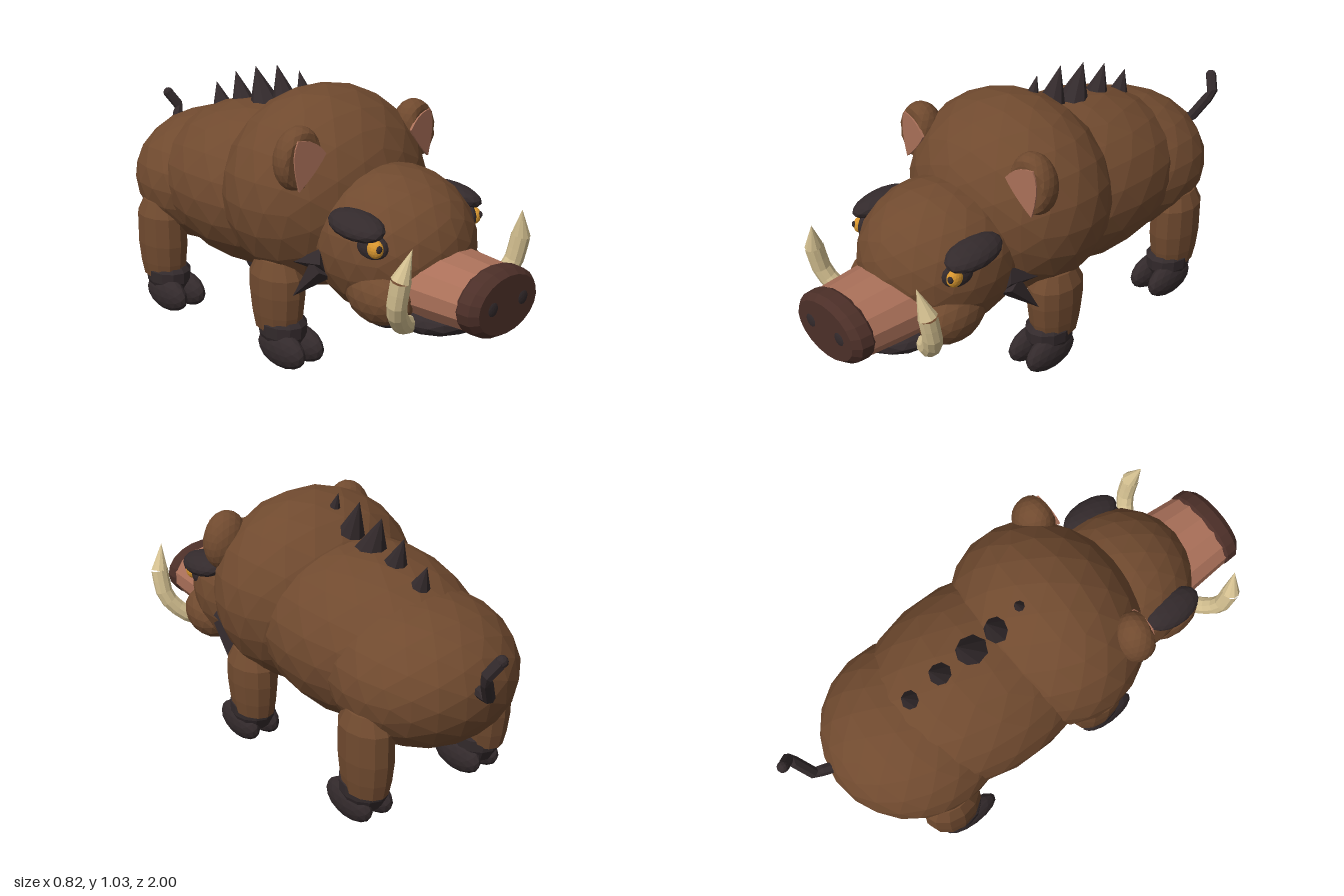
import * as THREE from 'three';

const mat = (name, color) => {
  const m = new THREE.MeshStandardMaterial({ color });
  m.name = name;
  return m;
};
const V = (a) => new THREE.Vector3(...a);

// Faceted normals for any geometry
function facet(geo) {
  const g = geo.index ? geo.toNonIndexed() : geo;
  g.computeVertexNormals();
  return g;
}

export function createModel() {
  const model = new THREE.Group();
  model.name = 'boar';
  const hide = mat('brown hide', 0x704a2f);
  const skin = mat('pink skin', 0xaa7059);
  const pad = mat('snout brown', 0x4c2f28);
  const dark = mat('dark bristle', 0x332a2c);
  const ivory = mat('ivory', 0xd6c292);
  const amber = mat('amber', 0xd9972f);

  const add = (name, geo, material, pos = [0, 0, 0], rot = [0, 0, 0]) => {
    const m = new THREE.Mesh(facet(geo), material);
    m.name = name;
    m.position.set(...pos);
    m.rotation.set(...rot);
    model.add(m);
    return m;
  };
  // Low-poly ellipsoid
  const blob = (name, material, pos, radii, detail = 2, rot) =>
    add(name, new THREE.IcosahedronGeometry(1, detail).scale(...radii), material, pos, rot);
  // Cone from a base point to a tip
  const spike = (name, material, base, tip, radius, sides = 8) => {
    const dir = V(tip).sub(V(base));
    const len = dir.length();
    const geo = new THREE.ConeGeometry(radius, len, sides).translate(0, len / 2, 0);
    const m = add(name, geo, material, base);
    m.quaternion.setFromUnitVectors(new THREE.Vector3(0, 1, 0), dir.normalize());
    return m;
  };
  const lathe = (pts, sides) =>
    new THREE.LatheGeometry(pts.map((p) => new THREE.Vector2(...p)), sides);
  const tube = (name, material, pts, radius, steps, sides) => {
    const path = new THREE.CatmullRomCurve3(pts.map(V));
    return add(name, new THREE.TubeGeometry(path, steps, radius, sides), material);
  };

  // Body masses
  blob('chest', hide, [0, 0.62, 0.125], [0.412, 0.382, 0.345], 3);
  blob('barrel', hide, [0, 0.56, -0.2], [0.37, 0.325, 0.5], 3);
  blob('rump', hide, [0, 0.525, -0.5], [0.35, 0.275, 0.352], 3);
  blob('head', hide, [0, 0.5, 0.48], [0.29, 0.275, 0.305], 3);

  // Muzzle, facing +z
  const muzzle = new THREE.CylinderGeometry(0.172, 0.2, 0.34, 14, 3).rotateX(Math.PI / 2).scale(1, 0.68, 1);
  add('muzzle', muzzle, skin, [0, 0.408, 0.76]);
  const disc = lathe([[0, 0], [0.155, 0], [0.178, 0.03], [0.175, 0.075], [0.15, 0.1], [0, 0.1]], 20);
  add('snoutPad', disc.rotateX(Math.PI / 2).scale(1, 0.68, 1), pad, [0, 0.41, 0.9]);
  blob('lowerJaw', dark, [0, 0.3, 0.7], [0.185, 0.068, 0.18]);

  // Back bristles: base z, y, tip z, y, radius
  for (const [z, y, tz, ty, r] of [
    [0, 0.97, -0.02, 1.028, 0.02], [-0.1, 0.9, -0.145, 1.03, 0.05], [-0.21, 0.85, -0.27, 1.005, 0.068],
    [-0.34, 0.83, -0.392, 0.965, 0.055], [-0.48, 0.81, -0.515, 0.902, 0.04],
  ]) spike('backBristle', dark, [0, y, z], [0, ty, tz], r);

  // Tail: jointed rod
  const tail = new THREE.CurvePath();
  const joints = [[0.03, 0.57, -0.8], [0.06, 0.585, -0.9], [0.125, 0.7, -0.945], [0.09, 0.76, -0.975]].map(V);
  for (let i = 0; i < 3; i++) tail.add(new THREE.LineCurve3(joints[i], joints[i + 1]));
  add('tail', new THREE.TubeGeometry(tail, 9, 0.022, 7), dark);
  blob('tailTip', dark, joints[3].toArray(), [0.022, 0.022, 0.022], 1);

  for (const s of [1, -1]) {
    const side = s > 0 ? 'left' : 'right';

    // Face
    blob(side + 'Cheek', hide, [s * 0.19, 0.375, 0.6], [0.095, 0.105, 0.14]);
    blob(side + 'Nostril', dark, [s * 0.078, 0.415, 0.995], [0.03, 0.03, 0.009]);
    blob(side + 'EyeSocket', dark, [s * 0.242, 0.565, 0.61], [0.025, 0.048, 0.058], 2, [0, s * -0.35, 0]);
    blob(side + 'Eye', amber, [s * 0.252, 0.567, 0.632], [0.024, 0.034, 0.032]);
    blob(side + 'Pupil', dark, [s * 0.259, 0.573, 0.657], [0.012, 0.014, 0.009], 1);
    blob(side + 'Brow', dark, [s * 0.25, 0.628, 0.54], [0.068, 0.042, 0.122], 2, [0.08, 0, s * -0.3]);

    // Ear: rounded shell with a flat front and a pink lining
    const ear = new THREE.IcosahedronGeometry(1, 3).scale(0.086, 0.115, 0.08);
    const p = ear.attributes.position;
    for (let i = 0; i < p.count; i++) p.setZ(i, Math.min(p.getZ(i), 0.045));
    const earGroup = new THREE.Group();
    earGroup.name = side + 'Ear';
    earGroup.add(add(side + 'EarShell', ear, hide, [0, 0, 0], [0, 0, s * 0.2]));
    const lining = new THREE.Shape();
    lining.moveTo(s * 0.025, -0.105);
    lining.quadraticCurveTo(s * -0.05, -0.045, s * -0.088, 0.015);
    lining.quadraticCurveTo(s * -0.045, 0.075, s * 0.03, 0.075);
    lining.quadraticCurveTo(s * 0.065, 0.02, s * 0.025, -0.105);
    const plate = new THREE.ExtrudeGeometry(lining, { depth: 0.009, bevelEnabled: false, curveSegments: 5 });
    earGroup.add(add(side + 'EarLining', plate, skin, [0, 0, 0.042]));
    earGroup.position.set(s * 0.297, 0.817, 0.295);
    earGroup.rotation.y = s * 0.12;
    model.add(earGroup);

    // Tusk: curved shaft and pointed end
    tube(side + 'Tusk', ivory, [[s * 0.15, 0.29, 0.7], [s * 0.23, 0.325, 0.74],
      [s * 0.3, 0.41, 0.78], [s * 0.31, 0.525, 0.805]], 0.035, 7, 10);
    spike(side + 'TuskTip', ivory, [s * 0.31, 0.522, 0.804], [s * 0.283, 0.63, 0.825], 0.035, 10);

    // Jowl bristles
    spike(side + 'JowlBristle', dark, [s * 0.25, 0.46, 0.39], [s * 0.3, 0.43, 0.27], 0.05, 5);
    spike(side + 'JowlBristle', dark, [s * 0.255, 0.43, 0.38], [s * 0.305, 0.3, 0.28], 0.05, 5);

    // Legs with two-toed feet
    for (const [name, z, top] of [['Front', 0.165, 0.44], ['Hind', -0.54, 0.49]]) {
      const leg = lathe([[0, 0.13], [0.072, 0.14], [0.082, 0.2], [0.089, 0.28],
        [0.088, top - 0.09], [0.064, top - 0.03], [0, top]], 12).scale(1, 1, 1.35);
      add(side + name + 'Leg', leg, hide, [s * 0.278, 0, z]);
      const cuff = lathe([[0, 0.06], [0.06, 0.07], [0.082, 0.12], [0.084, 0.165], [0.07, 0.185], [0, 0.185]], 12);
      add(side + name + 'Ankle', cuff.scale(1, 1, 1.22), dark, [s * 0.27, 0, z + 0.02]);
      for (const x of [0.215, 0.307])
        blob(side + name + 'Toe', dark, [s * x, 0.072, z + 0.055], [0.045, 0.072, 0.122]);
    }
  }
  return model;
}
